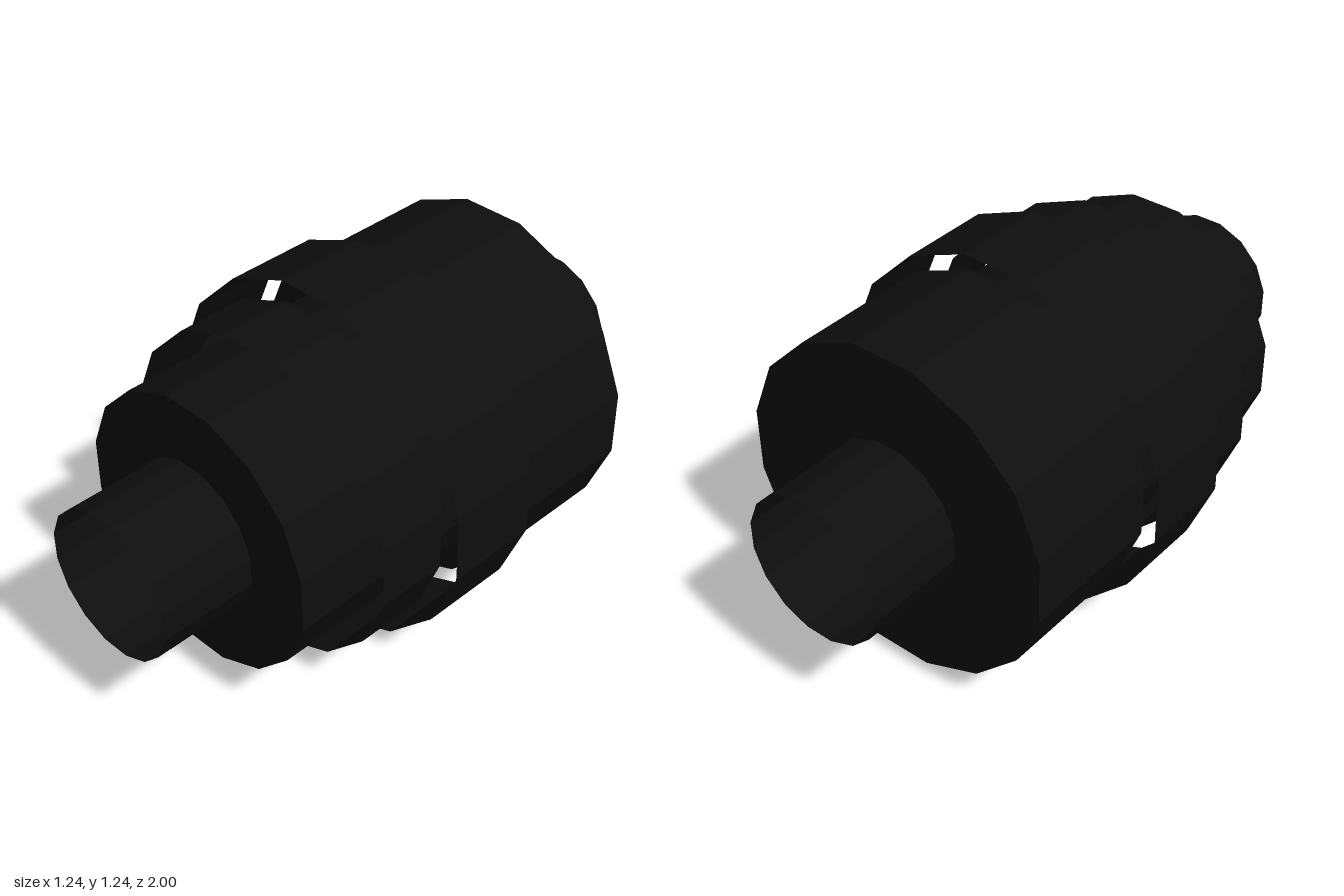
import * as THREE from 'three';

const SIDES = 16;
const AXIS_Y = 0.618;

// Sixteen-sided drum along z, with flats facing up and sideways.
// "flat" is the distance from the axis to a flat side.
function drum(name, flat, zBack, zFront, open, material) {
  const radius = flat / Math.cos(Math.PI / SIDES);
  const geometry = new THREE.CylinderGeometry(
    radius, radius, zFront - zBack, SIDES, 1, open, Math.PI / SIDES, Math.PI * 2);
  geometry.rotateX(Math.PI / 2);
  const mesh = new THREE.Mesh(geometry, material);
  mesh.name = name;
  mesh.position.set(0, AXIS_Y, (zBack + zFront) / 2);
  return mesh;
}

export function createModel() {
  const model = new THREE.Group();
  model.name = 'steppedDrum';
  const black = new THREE.MeshStandardMaterial({
    color: 0x0e0e0e, flatShading: true, side: THREE.DoubleSide });
  black.name = 'black';

  // Closed bodies
  model.add(drum('rearBody', 0.567, -0.665, -0.165, false, black));
  model.add(drum('frontCore', 0.467, -0.165, 0.665, false, black));

  // Thin open sleeves standing clear of the core
  model.add(drum('middleSleeve', 0.618, -0.165, 0.165, true, black));
  model.add(drum('frontSleeve', 0.55, 0.165, 0.415, true, black));

  // Open tubes at both ends
  model.add(drum('frontTube', 0.25, 0.665, 1, true, black));
  model.add(drum('rearTube', 0.25, -1, -0.665, true, black));

  return model;
}
